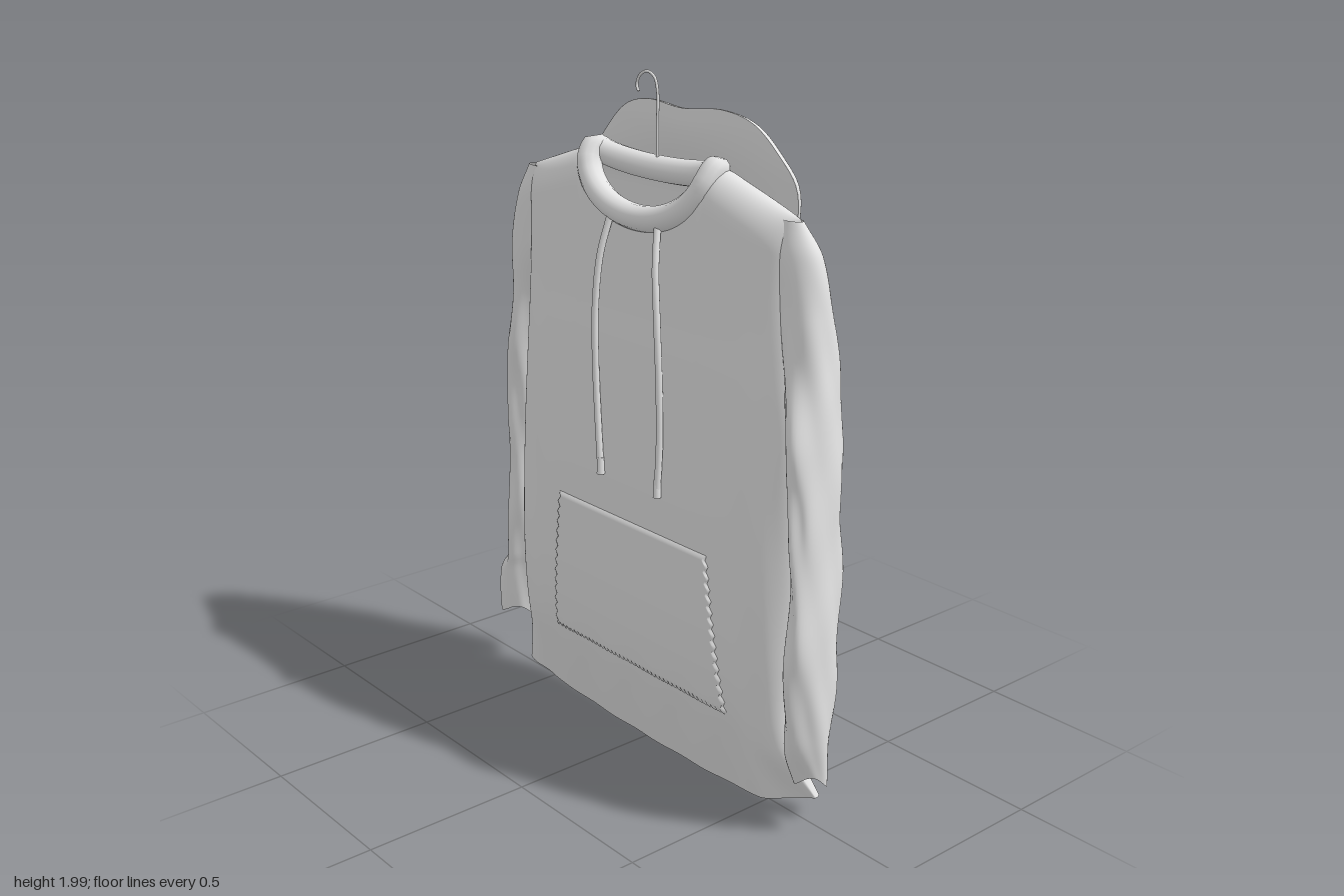
import * as THREE from 'three';

const fabric = new THREE.MeshStandardMaterial({ color: 0xe4e4e4, side: THREE.DoubleSide });
fabric.name = 'light grey fabric';
const CX = 0.05; // middle of the garment

const clamp01 = (t) => Math.min(1, Math.max(0, t));
const lerp = (a, b, t) => a + (b - a) * t;
const step = (a, b, t) => THREE.MathUtils.smoothstep(t, a, b);

// Smooth lookup in a table whose rows start with a falling height y
function sample(table, y) {
  let i = 0;
  while (i < table.length - 2 && y < table[i + 1][0]) i++;
  const slope = (k, c) => {
    const a = table[Math.max(0, k - 1)], b = table[Math.min(table.length - 1, k + 1)];
    return (b[c] - a[c]) / (b[0] - a[0]);
  };
  const p = table[i], q = table[i + 1], h = q[0] - p[0], t = clamp01((y - p[0]) / h);
  return p.slice(1).map((_, n) => {
    const c = n + 1;
    return p[c] * (1 - t) ** 2 * (1 + 2 * t) + q[c] * t * t * (3 - 2 * t)
      + h * t * (1 - t) * (slope(i, c) * (1 - t) - slope(i + 1, c) * t);
  });
}

// Grid surface from a rule; closed joins the last column to the first
function surface(fn, nu, nv, closed = true) {
  const cols = closed ? nu : nu + 1, pos = [], idx = [];
  for (let j = 0; j <= nv; j++) for (let i = 0; i < cols; i++) pos.push(...fn(i / nu, j / nv));
  for (let j = 0; j < nv; j++) for (let i = 0; i < nu; i++) {
    const a = j * cols + i, b = j * cols + (i + 1) % cols, c = a + cols, d = b + cols;
    idx.push(a, b, c, b, d, c);
  }
  const g = new THREE.BufferGeometry();
  g.setAttribute('position', new THREE.Float32BufferAttribute(pos, 3));
  g.setIndex(idx);
  g.computeVertexNormals();
  return g;
}

// Torso rows: y, right edge, left edge, front z, back z
const TORSO = [
  [1.8, -0.5, 0.6, 0.1, -0.015], [1.6, -0.5, 0.605, 0.11, -0.03], [1.4, -0.51, 0.63, 0.115, -0.045],
  [1.2, -0.525, 0.65, 0.125, -0.055], [0.8, -0.55, 0.645, 0.132, -0.06], [0.5, -0.57, 0.625, 0.128, -0.06],
  [0.3, -0.57, 0.615, 0.11, -0.058], [0.15, -0.565, 0.63, 0.075, -0.05], [0, -0.585, 0.67, 0.032, -0.01],
];
const shoulderY = (x) => 1.775 - Math.max(0, Math.abs(x - CX) - 0.28) * 0.32;
const neckDip = (x) => Math.sqrt(Math.max(0, 1 - ((x - CX) / 0.26) ** 2));
const hemY = (x) => 0.005 + (x < 0.1 ? 0.035 : 0.06) * Math.abs((x - 0.1) / 0.6) ** 2.5 + 0.02 * step(0.5, 0.67, x);

// Depth of the torso cloth, with soft folds at the sides and on the lower back
function torsoZ(u, x, y, front) {
  const [, , zf, zb] = sample(TORSO, y);
  const d = clamp01((shoulderY(x) - y) / 0.1);
  const full = Math.sqrt(Math.max(0, 1 - Math.abs(u) ** 7)) * Math.sqrt(1 - (1 - d) ** 2);
  let fold;
  if (front) {
    fold = 0.004 * Math.sin(x * 42 + y * 5) * step(0.65, 0.88, Math.abs(u)) * (1 - step(1.1, 1.5, y))
      + 0.002 * Math.sin(x * 30 - y * 9) * (1 - step(0.15, 0.4, y));
  } else {
    fold = 0.004 * Math.sin(x * 46 + y * 7 + Math.sin(y * 6)) * step(0.12, 0.35, y) * (1 - step(0.65, 1, y));
  }
  const pull = 0.07 * step(0.75, 1, u) * (1 - step(0, 0.22, y));
  return 0.035 + ((front ? zf : zb) - 0.035 + fold) * full - pull;
}

function torso(s, v) {
  const t = v ** 1.6; // rows gather towards the rounded shoulders
  const a = s * Math.PI * 2, u = Math.cos(a), front = Math.sin(a) >= 0;
  const [xl, xr] = sample(TORSO, lerp(1.8, 0, t));
  const x = lerp(xl, xr, (u + 1) / 2);
  const top = shoulderY(x) - neckDip(x) * (front ? 0.155 : 0.035);
  const y = lerp(top, hemY(x), t);
  return [x, y, torsoZ(u, x, y, front)];
}

// Sleeve rows: y, largest x, smallest x, front z, back z
const SLEEVES = {
  leftSleeve: [
    [1.685, 0.61, 0.53, 0.06, 0.02], [1.6, 0.665, 0.52, 0.08, -0.015], [1.45, 0.7, 0.55, 0.09, -0.03],
    [1.3, 0.72, 0.57, 0.105, -0.035], [1.1, 0.74, 0.645, 0.14, -0.035], [0.8, 0.755, 0.68, 0.15, -0.02],
    [0.55, 0.765, 0.665, 0.155, -0.01], [0.3, 0.757, 0.645, 0.12, -0.005], [0.18, 0.75, 0.655, 0.08, 0.005],
  ],
  rightSleeve: [
    [1.685, -0.43, -0.52, 0.06, 0.02], [1.6, -0.43, -0.57, 0.08, -0.02], [1.45, -0.45, -0.61, 0.085, -0.045],
    [1.3, -0.48, -0.63, 0.08, -0.06], [1.1, -0.53, -0.645, 0.08, -0.075], [0.8, -0.56, -0.67, 0.07, -0.078],
    [0.55, -0.585, -0.7, 0.06, -0.075], [0.38, -0.615, -0.73, 0.05, -0.06], [0.33, -0.62, -0.77, 0.045, -0.055],
    [0.18, -0.635, -0.775, 0.04, -0.04],
  ],
};
const sleeve = (rows) => (s, t) => {
  const a = s * Math.PI * 2, y = lerp(1.685, 0.18, t);
  const [x1, x0, zf, zb] = sample(rows, y);
  const crease = step(0, 0.3, t) * (0.04 * Math.sin(y * 21 + 3 * Math.sin(a))
    + 0.06 * Math.sin(3 * a + y * 8) + 0.05 * Math.sin(5 * a - y * 15));
  return [(x0 + x1) / 2 + (x1 - x0) / 2 * Math.cos(a) * (1 + crease * 0.7), y + 0.02 * t * Math.sin(a * 2),
    (zf + zb) / 2 + (zf - zb) / 2 * Math.sin(a) * (1 + crease)];
};

// Hood outline, right half from the top middle outwards to the tip
const HOOD_HALF = [[0, 1.895], [0.15, 1.905], [0.26, 1.88], [0.35, 1.81], [0.412, 1.73], [0.4, 1.6],
  [0.34, 1.43], [0.23, 1.26], [0.11, 1.12], [0, 1.06]];
const hoodLine = new THREE.CatmullRomCurve3([
  ...HOOD_HALF.map(([x, y]) => new THREE.Vector3(x, y, 0)),
  ...HOOD_HALF.slice(1, -1).reverse().map(([x, y]) => new THREE.Vector3(-x, y, 0)),
], true);
function hood(s, t) {
  const p = hoodLine.getPoint(s), front = t < 0.5;
  const r = Math.sin(clamp01(front ? t * 2 : 2 - t * 2) * Math.PI / 2);
  const x = p.x * r, y = lerp(1.58, p.y, r);
  const brow = 0.03 * Math.exp(-((x / 0.26) ** 2)) * step(1.65, 1.86, y);
  const edge = -0.103 + 0.015 * step(1.6, 1.8, y) + brow;
  const z = front ? edge + 0.006 * (1 - r ** 6) : lerp(-0.162, edge, 1 - (1 - r ** 6) ** 0.6);
  return [x + 0.043, y, z];
}

// Pocket with a pinked edge, following the cloth of the torso
const zigzag = (n) => Math.abs((n % 1) * 2 - 1) - 0.5;
function pocket(s, t) {
  const side = 0.011 * zigzag(t * 14);
  const y = lerp(0.745, 0.28 + 0.012 * zigzag(s * 42), t);
  const x = lerp(lerp(0.37, 0.43, t) + side, lerp(-0.28, -0.34, t) - side, s);
  const [xl, xr] = sample(TORSO, y);
  const u = (x - xl) / (xr - xl) * 2 - 1;
  const rim = s === 0 || s === 1 || t === 0 || t === 1;
  return [x, y, torsoZ(u, x, y, true) + (rim ? -0.002 : 0.007)];
}

function tube(points, radius, segments, closed = false) {
  const curve = new THREE.CatmullRomCurve3(points.map((p) => new THREE.Vector3(...p)), closed);
  return new THREE.TubeGeometry(curve, segments, radius, 12, closed);
}

export function createModel() {
  const model = new THREE.Group();
  model.name = 'hoodedTop';
  const add = (name, geometry) => {
    const mesh = new THREE.Mesh(geometry, fabric);
    mesh.name = name;
    model.add(mesh);
    return mesh;
  };

  add('torso', surface(torso, 240, 100));
  for (const [name, rows] of Object.entries(SLEEVES)) add(name, surface(sleeve(rows), 48, 110));
  add('hood', surface(hood, 96, 48));
  add('pocket', surface(pocket, 168, 56, false));

  // Rolled collar: low in front, high at the back, flattened from front to back
  const ring = [];
  for (let i = 0; i < 32; i++) {
    const a = i / 32 * Math.PI * 2, s = Math.sin(a), flat = Math.sqrt(Math.abs(s));
    ring.push([CX + 0.25 * Math.cos(a), 1.775 - (s > 0 ? 0.158 : 0.035) * Math.abs(s), s > 0 ? 0.05 + 0.052 * flat : 0.05 - 0.03 * flat]);
  }
  add('collar', tube(ring, 0.036, 128, true));

  // Drawstrings with tips
  for (const [name, side] of [['rightDrawstring', -1], ['leftDrawstring', 1]]) {
    const at = (dx, y, z) => [CX + side * dx, y, z];
    add(name, tube([at(0.1, 1.61, 0.118), at(0.118, 1.5, 0.14), at(0.133, 1.35, 0.147),
      at(0.138, 1.18, 0.144), at(0.135, 1.02, 0.14), at(0.125, 0.87, 0.14)], 0.01, 40));
    const tip = add(name + 'Tip', new THREE.CylinderGeometry(0.01, 0.012, 0.05, 12));
    tip.position.set(CX + side * 0.125, 0.883, 0.14);
  }

  // Hanger hook
  add('hangerHook', tube([[0.046, 1.74, 0.03], [0.046, 1.85, 0.03], [0.046, 1.95, 0.03], [0.034, 1.983, 0.03],
    [0.004, 1.996, 0.03], [-0.027, 1.983, 0.03], [-0.04, 1.955, 0.03], [-0.032, 1.94, 0.03]], 0.004, 48));
  return model;
}
